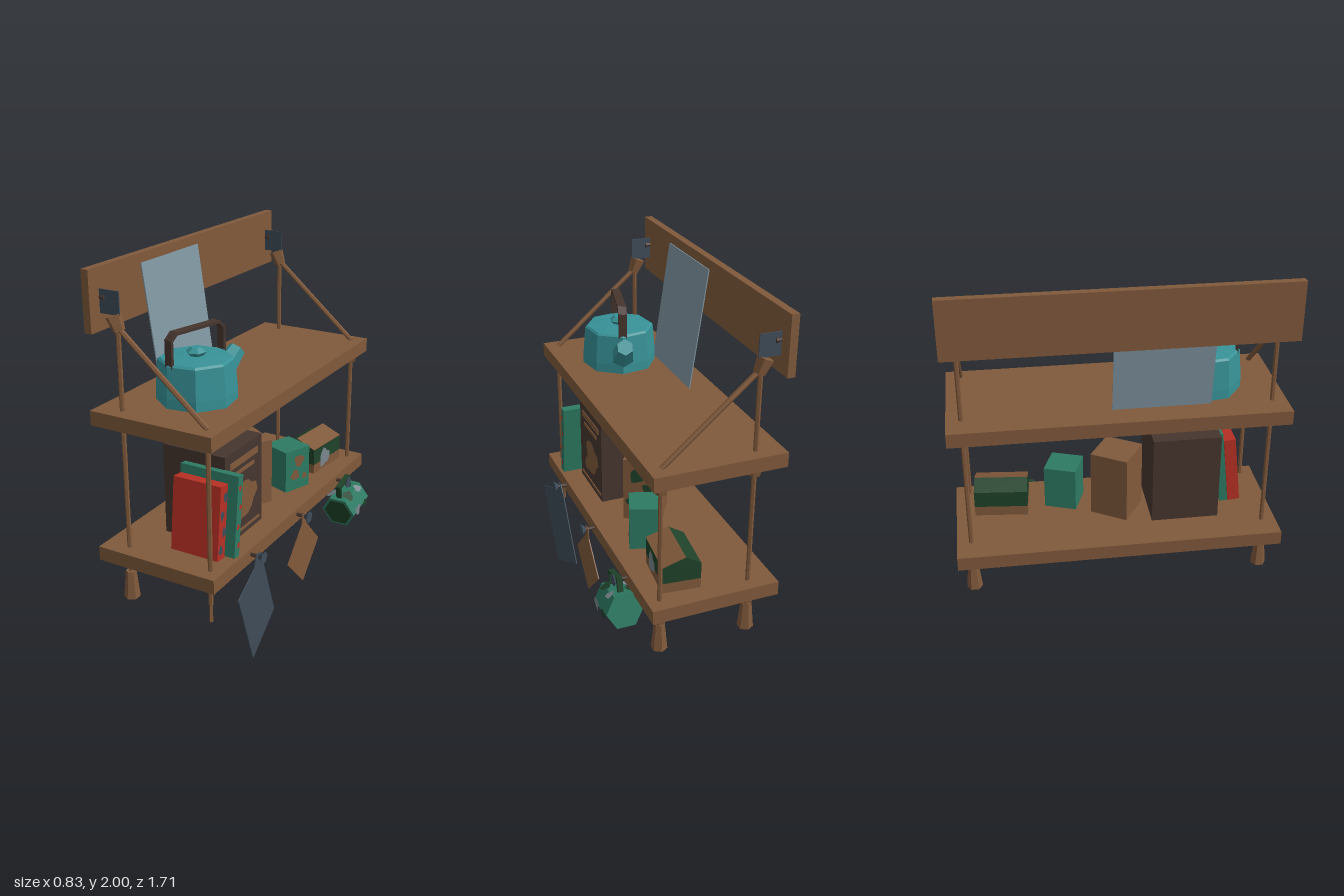
import * as THREE from 'three';

const mat = (name, color) => Object.assign(new THREE.MeshStandardMaterial({ color }), { name });

export function createModel() {
  const root = new THREE.Group();
  root.name = 'hangingShelf';
  const wood = mat('wood', 0x80593b), dark = mat('darkBrown', 0x46352f), teal = mat('kettleTeal', 0x379297);
  const green = mat('green', 0x2d7a62), deep = mat('deepGreen', 0x1f4229), red = mat('red', 0xb83024);
  const slate = mat('slate', 0x3e4c59), pale = mat('paleBlue', 0x8197a3), grey = mat('spotGrey', 0x78868c);

  const add = (name, geo, material, x = 0, y = 0, z = 0, parent = root) => {
    const g = geo.index ? geo.toNonIndexed() : geo;
    g.computeVertexNormals();
    const m = new THREE.Mesh(g, material);
    m.name = name;
    m.position.set(x, y, z);
    parent.add(m);
    return m;
  };
  const group = (name, x, y, z) => {
    const g = new THREE.Group();
    g.name = name;
    g.position.set(x, y, z);
    root.add(g);
    return g;
  };
  const box = (name, material, w, h, d, x, y, z, parent) =>
    add(name, new THREE.BoxGeometry(w, h, d), material, x, y, z, parent);
  // round bar between two points
  const rod = (name, material, a, b, r1, r2 = r1, sides = 6, parent = root) => {
    const p = new THREE.Vector3(...a), q = new THREE.Vector3(...b);
    const m = add(name, new THREE.CylinderGeometry(r2, r1, p.distanceTo(q), sides), material, 0, 0, 0, parent);
    m.position.copy(p).add(q).multiplyScalar(0.5);
    m.quaternion.setFromUnitVectors(new THREE.Vector3(0, 1, 0), q.sub(p).normalize());
    return m;
  };
  // irregular painted spot facing +x
  const spot = (name, material, r, seed, x, y, z, parent, stretch = 1) => {
    const pts = [];
    for (let i = 0; i < 14; i++) {
      const a = (i / 14) * Math.PI * 2, k = r * (1 + 0.16 * Math.sin(3 * a + seed) + 0.1 * Math.cos(5 * a - seed));
      pts.push(new THREE.Vector2(Math.cos(a) * k, Math.sin(a) * k * stretch));
    }
    const m = add(name, new THREE.ShapeGeometry(new THREE.Shape(pts)), material, x, y, z, parent);
    m.rotation.y = Math.PI / 2;
    return m;
  };

  // boards
  box('backBoard', wood, 0.04, 0.3, 1.706, -0.395, 1.85, 0);
  box('upperShelf', wood, 0.675, 0.075, 1.706, -0.0775, 1.2825, 0);
  box('lowerShelf', wood, 0.675, 0.075, 1.706, -0.0775, 0.5525, 0);

  // ropes, knots, tassels and brackets at both ends
  for (const s of [1, -1]) {
    const z = 0.778 * s;
    rod('backRope', wood, [-0.28, 0.4, z], [-0.28, 1.73, z], 0.012);
    rod('frontRope', wood, [0.195, 0.4, z], [0.195, 1.3, z], 0.012);
    rod('slantedRope', wood, [-0.28, 1.73, z], [0.195, 1.32, z], 0.013);
    rod('topKnot', wood, [-0.272, 1.712, z], [-0.302, 1.782, z], 0.03, 0.042, 5);
    box('bracket', slate, 0.11, 0.115, 0.006, -0.32, 1.842, z);
    rod('bracketBolt', dark, [-0.378, 1.86, z], [-0.345, 1.86, z], 0.008, 0.015);
    for (const x of [-0.28, 0.195]) {
      if (s < 0) for (const y of [1.245, 0.515])
        rod('shelfKnot', wood, [x, y - 0.055, z], [x, y, z], 0.03, 0.04, 5);
      if (s > 0 && x > 0) rod('ropeTail', wood, [x, 0.305, z], [x, 0.455, z], 0.012, 0.008, 4);
      else rod('tassel', wood, [x, 0.305, z], [x, 0.455, z], 0.042, 0.027, 6);
    }
  }

  // leaning panel
  box('leaningPanel', pale, 0.006, 0.641, 0.5, -0.32, 1.638, 0.215).rotation.z = 0.141;

  // kettle
  const kettle = group('kettle', -0.065, 1.32, 0.46);
  kettle.rotation.y = -0.24;
  const profile = [[0, 0], [0.2, 0], [0.2, 0.05], [0.187, 0.205], [0.176, 0.215], [0.07, 0.222], [0, 0.222]];
  add('kettleBody', new THREE.LatheGeometry(profile.map(p => new THREE.Vector2(...p)), 8), teal, 0, 0, 0, kettle);
  rod('lidKnob', teal, [0, 0.215, 0], [0, 0.24, 0], 0.03, 0.052, 6, kettle);
  rod('lidKnobTop', teal, [0, 0.24, 0], [0, 0.262, 0], 0.052, 0.025, 6, kettle);
  rod('spout', teal, [0, 0.085, -0.155], [0, 0.188, -0.28], 0.065, 0.045, 6, kettle);
  const arch = [[0.172, 0.2], [0.172, 0.33], [0.14, 0.36], [-0.14, 0.36], [-0.172, 0.33], [-0.172, 0.2]];
  for (let i = 0; i < 5; i++) {
    const [z1, y1] = arch[i], [z2, y2] = arch[i + 1];
    const len = Math.hypot(z2 - z1, y2 - y1) + 0.008;
    box('kettleHandle', dark, 0.045, 0.015, len, 0, (y1 + y2) / 2, (z1 + z2) / 2, kettle)
      .rotation.x = -Math.atan2(y2 - y1, z2 - z1);
  }

  // leaning books with spotted spines
  const redBook = group('redBook', 0.055, 0.787, 0.652);
  box('redCover', red, 0.27, 0.385, 0.065, 0, 0, 0, redBook);
  const greenBook = group('greenBook', 0.08, 0.807, 0.592);
  box('greenCover', green, 0.33, 0.425, 0.045, 0, 0, 0, greenBook);
  redBook.rotation.x = greenBook.rotation.x = -0.11;
  for (let i = 0; i < 4; i++) {
    spot('redBookSpot', slate, 0.017, i, 0.138, 0.13 - i * 0.09, 0.012 * (i % 2 ? 1 : -1), redBook, 1.5);
    spot('greenBookSpot', red, 0.011, i, 0.168, 0.15 - i * 0.1, 0.006 * (i % 2 ? -1 : 1), greenBook, 1.4);
  }

  // large dark book with worn ornament
  box('largeBook', dark, 0.36, 0.49, 0.36, -0.035, 0.835, 0.37);
  for (const [y, h, w] of [[1.01, 0.035, 0.27], [0.955, 0.02, 0.2], [0.625, 0.015, 0.31]])
    box('bookBand', wood, 0.006, h, w, 0.146, y, 0.37);
  spot('bookOrnament', wood, 0.095, 1, 0.148, 0.79, 0.35, root, 1.05);
  spot('bookOrnamentSmall', wood, 0.04, 3, 0.148, 0.715, 0.43);

  // turned wooden box
  const woodBox = group('woodenBox', -0.05, 0.5905, 0.02);
  woodBox.rotation.y = -0.55;
  box('woodenBoxBody', wood, 0.21, 0.365, 0.21, 0, 0.1825, 0, woodBox);
  for (const [x, y, r] of [[0.03, 0.27, 0.04], [-0.03, 0.2, 0.03], [0.04, 0.12, 0.045], [-0.04, 0.07, 0.03]])
    spot('woodenBoxSpot', deep, r, y * 30, x, y, -0.107, woodBox).rotation.y = Math.PI;

  // green canister
  const canister = group('greenCanister', 0.06, 0.59, -0.257);
  canister.rotation.y = -0.35;
  box('canisterBody', green, 0.175, 0.24, 0.175, 0, 0.12, 0, canister);
  for (const [y, z, r] of [[0.17, -0.01, 0.035], [0.09, 0.02, 0.03], [0.07, -0.05, 0.018]])
    spot('canisterSpot', wood, r, y * 40, 0.09, y, z, canister);

  // low chest with sloped lid
  const chest = group('chest', 0.05, 0.59, -0.6);
  chest.rotation.y = -0.1;
  box('chestBase', wood, 0.2, 0.055, 0.285, 0, 0.0275, 0, chest);
  box('chestBody', deep, 0.2, 0.09, 0.285, 0, 0.1, 0, chest);
  const lid = new THREE.Shape([[0.1, 0], [-0.02, 0.046], [-0.1, 0]].map(p => new THREE.Vector2(...p)));
  add('chestLid', new THREE.ExtrudeGeometry(lid, { depth: 0.285, bevelEnabled: false }), deep, 0, 0.145, -0.1425, chest);
  box('lidFront', wood, 0.128, 0.006, 0.285, 0.04, 0.169, 0, chest).rotation.z = -0.366;
  spot('chestEmblem', grey, 0.052, 2, 0.103, 0.07, 0.03, chest);

  // front pegs
  for (const z of [0.5, 0, -0.5]) {
    rod('peg', dark, [0.25, 0.56, z], [0.325, 0.56, z], 0.009, 0.012);
    rod('pegHead', slate, [0.31, 0.56, z], [0.335, 0.56, z], 0.012, 0.034);
  }

  // thin hanging plates, outlines as (z, y)
  const plate = (name, material, outline, x, z) => {
    const shape = new THREE.Shape(outline.map(([pz, y]) => new THREE.Vector2(z - pz, y)));
    const g = new THREE.ExtrudeGeometry(shape, { depth: 0.006, bevelEnabled: false });
    const m = add(name, g, material, x, 0, z);
    m.rotation.y = Math.PI / 2;
    return m;
  };
  plate('slateTag', slate, [[0.745, 0.44], [0.57, 0], [0.29, 0.135], [0.455, 0.535], [0.48, 0.575], [0.52, 0.575], [0.55, 0.515]], 0.298, 0.5)
    .rotation.y += 0.11;
  plate('woodTag', wood, [[0.18, 0.345], [0, 0.16], [-0.18, 0.345], [-0.025, 0.51], [-0.02, 0.57], [0.02, 0.57], [0.025, 0.51]], 0.298, 0);

  // hanging mug, axis along its local z
  const mug = group('mug', 0.312, 0.42, -0.517);
  mug.rotation.x = 0.22;
  const body = add('mugBody', new THREE.CylinderGeometry(0.1, 0.1, 0.2, 6), green, 0, 0, 0, mug);
  body.rotation.set(Math.PI / 2, Math.PI / 6, 0);
  const mouth = add('mugMouth', new THREE.CylinderGeometry(0.085, 0.085, 0.004, 6), deep, 0, 0, 0.101, mug);
  mouth.rotation.copy(body.rotation);
  box('mugHandleTop', deep, 0.03, 0.016, 0.13, 0, 0.155, 0.01, mug);
  for (const z of [-0.05, 0.07]) box('mugHandleSide', deep, 0.03, 0.08, 0.016, 0, 0.12, z, mug);
  // spots on the six side faces, angled to lie flat
  for (let i = 0; i < 6; i++) {
    const face = new THREE.Group();
    face.name = 'mugFace';
    face.rotation.z = i * Math.PI / 3 + Math.PI / 6 - (Math.PI / 6);
    mug.add(face);
    spot('mugSpot', i % 2 ? deep : grey, 0.032, i, 0.102, 0.008, 0.045, face);
    spot('mugSpot', i % 2 ? grey : deep, 0.024, i + 2, 0.102, -0.01, -0.05, face);
  }
  return root;
}
